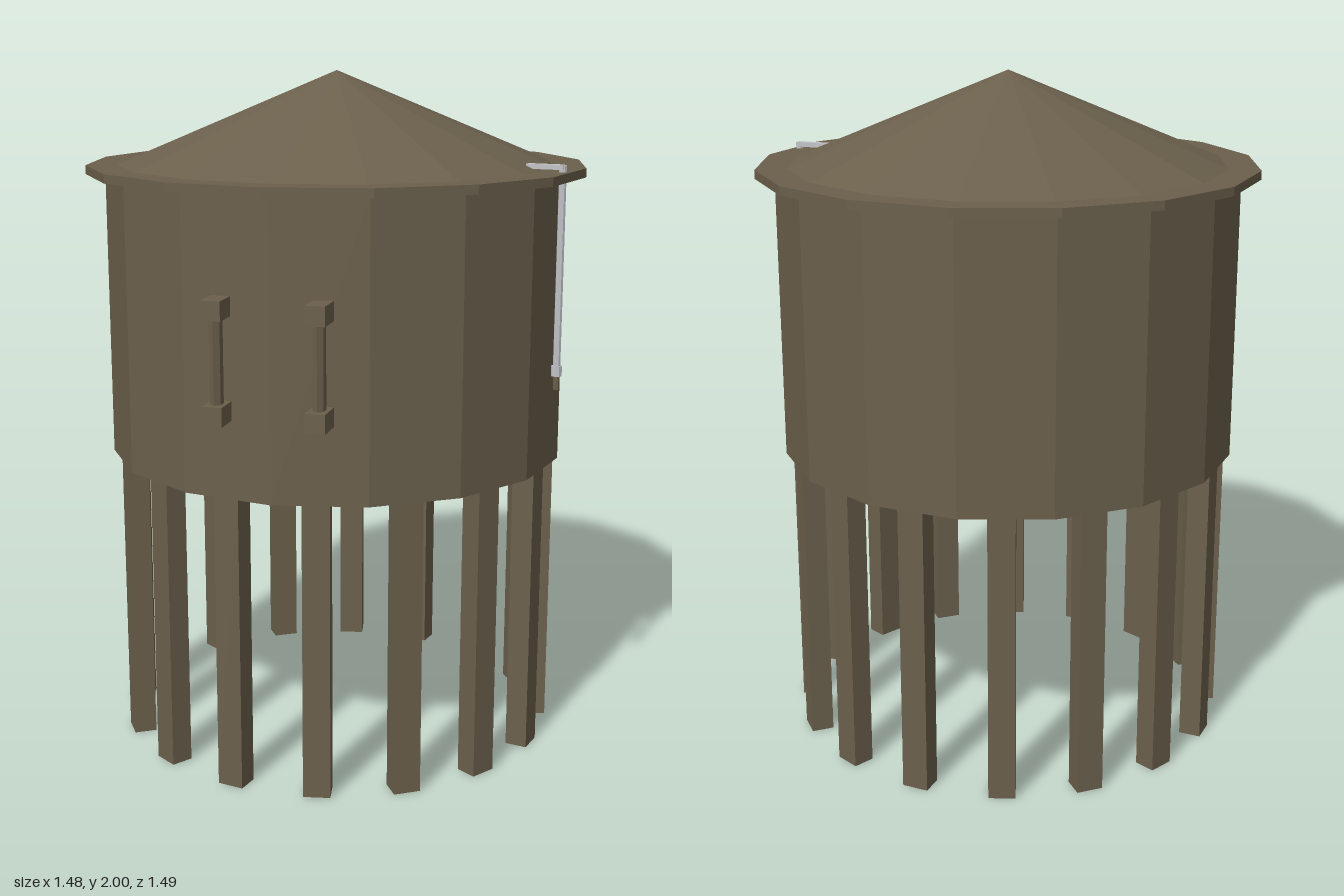
import * as THREE from 'three';

const SIDES = 16;

export function createModel() {
  const model = new THREE.Group();
  model.name = 'waterTank';

  const wood = new THREE.MeshStandardMaterial({ color: 0x6b604c, flatShading: true });
  wood.name = 'weathered brown';
  const metal = new THREE.MeshStandardMaterial({ color: 0xc2c4c8, flatShading: true });
  metal.name = 'pale grey metal';

  const add = (name, geometry, material, x = 0, y = 0, z = 0, parent = model) => {
    const mesh = new THREE.Mesh(geometry, material);
    mesh.name = name;
    mesh.position.set(x, y, z);
    parent.add(mesh);
    return mesh;
  };

  // Tank body, overhanging rim and conical roof
  add('tank', new THREE.CylinderGeometry(0.685, 0.685, 0.845, SIDES), wood, 0, 1.2875, 0);
  add('rim', new THREE.CylinderGeometry(0.742, 0.742, 0.026, SIDES), wood, 0, 1.717, 0);
  add('roof', new THREE.ConeGeometry(0.65, 0.27, SIDES, 1, true), wood, 0, 1.865, 0);

  // Ring of posts, each facing outwards
  const postGeometry = new THREE.BoxGeometry(0.078, 0.87, 0.065);
  for (let i = 0; i < SIDES; i++) {
    const angle = ((i + 0.5) / SIDES) * Math.PI * 2 - 0.017;
    const post = add('post', postGeometry, wood, Math.sin(angle) * 0.632, 0.435, Math.cos(angle) * 0.632);
    post.rotation.y = angle;
  }

  // Pair of upright handles on the front
  const blockGeometry = new THREE.BoxGeometry(0.056, 0.054, 0.09);
  const barGeometry = new THREE.CylinderGeometry(0.025, 0.025, 0.25, 6).scale(0.7, 1, 1);
  for (const side of [-1, 1]) {
    const handle = new THREE.Group();
    handle.name = side > 0 ? 'leftHandle' : 'rightHandle';
    handle.position.set(side * 0.143, 0, 0.7);
    model.add(handle);
    add('upperBlock', blockGeometry, wood, 0, 1.403, 0, handle);
    add('lowerBlock', blockGeometry, wood, 0, 1.116, 0, handle);
    add('bar', barGeometry, wood, 0, 1.26, 0, handle);
  }

  // Pull rod on the left, with a short arm reaching over the roof edge
  const pull = new THREE.Group();
  pull.name = 'pullRod';
  pull.position.set(0.692, 0, 0.136);
  pull.rotation.y = -0.17;
  model.add(pull);
  add('arm', new THREE.BoxGeometry(0.11, 0.014, 0.022), metal, -0.05, 1.744, 0, pull);
  add('rod', new THREE.CylinderGeometry(0.011, 0.011, 0.59, 8), metal, 0, 1.455, 0, pull);
  add('collar', new THREE.CylinderGeometry(0.016, 0.016, 0.03, 8), metal, 0, 1.162, 0, pull);
  add('grip', new THREE.CylinderGeometry(0.009, 0.009, 0.045, 6), wood, 0, 1.13, 0, pull);

  return model;
}
